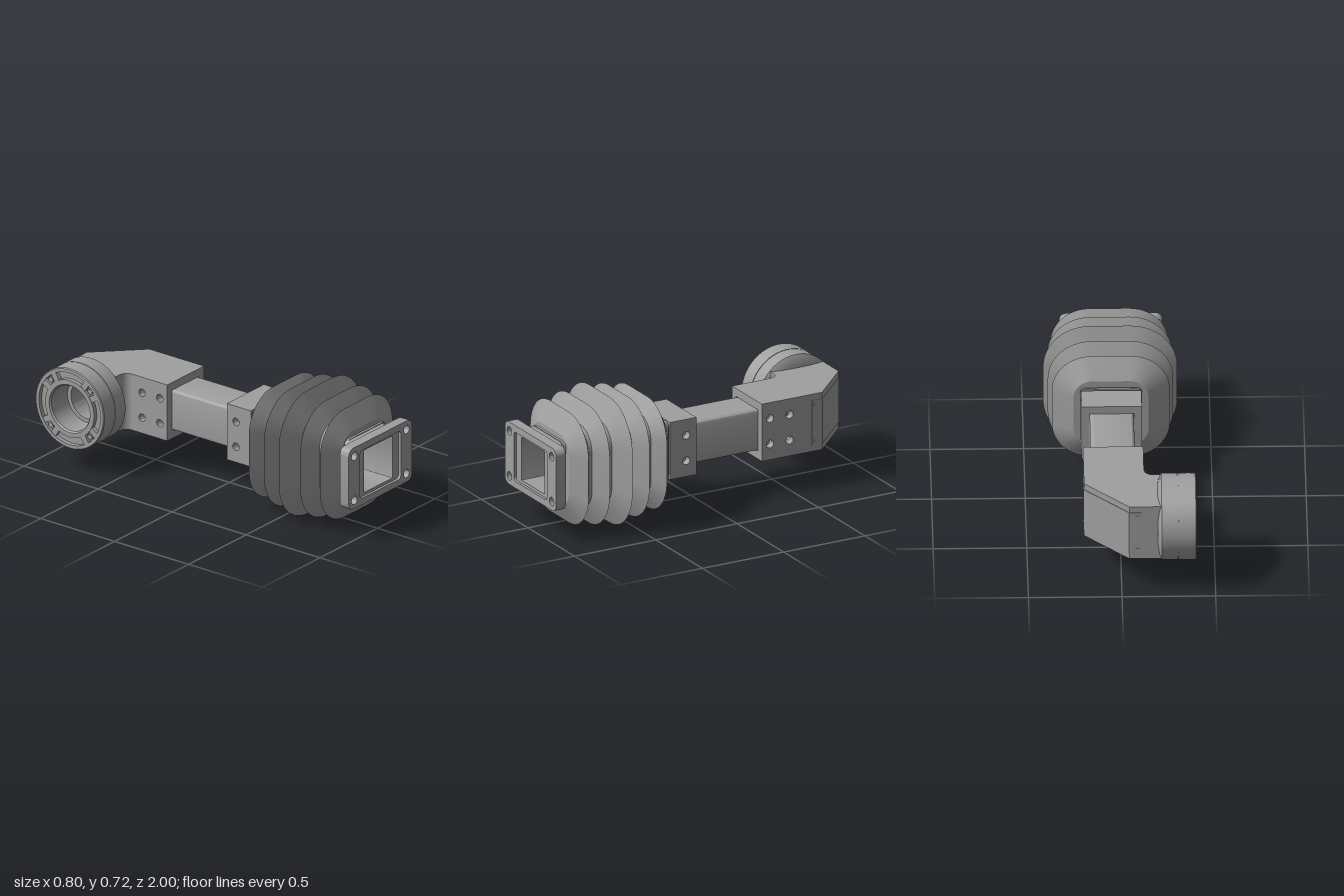
import * as THREE from 'three';
import { toCreasedNormals } from 'three/addons/utils/BufferGeometryUtils.js';

const CX = 0.037, CY = 0.362;
const grey = new THREE.MeshStandardMaterial({ color: 0xa0a0a0 });
grey.name = 'grey metal';

// Rounded rectangle as a list of points, counter-clockwise
function roundRect(cx, cy, hw, hh, r, n = 6) {
  const pts = [];
  [[1, 1], [-1, 1], [-1, -1], [1, -1]].forEach(([sx, sy], q) => {
    for (let i = 0; i <= n; i++) {
      const a = (q + i / n) * Math.PI / 2;
      pts.push(new THREE.Vector2(cx + sx * (hw - r) + r * Math.cos(a), cy + sy * (hh - r) + r * Math.sin(a)));
    }
  });
  return pts;
}

function circle(x, y, r) {
  return new THREE.Path().absarc(x, y, r, 0, Math.PI * 2, true);
}

function extrude(shape, depth) {
  const g = new THREE.ExtrudeGeometry(shape, { depth, bevelEnabled: false, curveSegments: 20 });
  return toCreasedNormals(g, 0.6);
}

export function createModel() {
  const model = new THREE.Group();

  function add(name, geo, parent = model) {
    const m = new THREE.Mesh(geo, grey);
    m.name = name;
    parent.add(m);
    return m;
  }

  // Rectangular ring running along z, with optional round holes
  function frame(name, cx, z0, z1, outer, inner, holes = []) {
    const s = new THREE.Shape(roundRect(cx, CY, ...outer));
    s.holes.push(new THREE.Path(roundRect(cx, CY, ...inner)));
    holes.forEach(([x, y, r]) => s.holes.push(circle(x, y, r)));
    add(name, extrude(s, z1 - z0)).position.z = z0;
  }

  // Front flange: thick back plate and a stepped front plate
  const bolts = [];
  for (const x of [-0.2, 0.253]) for (const y of [0.233, 0.489]) bolts.push([x, y, 0.024]);
  const opening = [0.1225, 0.1225, 0.003];
  frame('flangeBack', 0.026, 0.94, 0.985, [0.276, 0.178, 0.04], opening, bolts);
  frame('flangeFront', 0.026, 0.985, 1, [0.276, 0.178, 0.04], [0.178, 0.14, 0.022], bolts);
  frame('flangeNeck', 0.026, 0.87, 0.94, [0.164, 0.164, 0.025], opening);
  frame('frontClamp', 0.037, 0.882, 0.898, [0.168, 0.168, 0.03], [0.14, 0.14, 0.02]);
  frame('liner', 0.026, 0.241, 0.9, [0.13, 0.13, 0.008], opening);
  frame('rearClamp', CX, 0.252, 0.265, [0.166, 0.166, 0.03], [0.14, 0.14, 0.02]);
  frame('rearNeck', CX, 0.238, 0.285, [0.152, 0.152, 0.025], [0.132, 0.132, 0.01]);

  // Bellows lofted through rounded squares: [z, half width, corner radius]
  const sections = [[0.277, 0.14, 0.04], [0.277, 0.2, 0.1]];
  const peaks = [[0.347, 0.315, 0.21], [0.465, 0.335, 0.23], [0.583, 0.358, 0.25], [0.71, 0.335, 0.23], [0.828, 0.315, 0.21]];
  peaks.forEach(([z, h, r], i) => {
    sections.push([z, h, r]);
    if (i < 4) {
      const mid = (z + peaks[i + 1][0]) / 2;
      sections.push([mid - 0.01, 0.23, 0.125], [mid + 0.01, 0.23, 0.125]);
    }
  });
  sections.push([0.884, 0.2, 0.1], [0.884, 0.14, 0.04]);
  const pos = [], idx = [];
  const count = roundRect(0, 0, 1, 1, 0.5, 12).length;
  sections.forEach(([z, h, r], k) => {
    roundRect(CX, 0.36, h, h, r, 12).forEach((p) => pos.push(p.x, p.y, z));
    if (k === 0) return;
    for (let i = 0; i < count; i++) {
      const j = (i + 1) % count, a = (k - 1) * count, b = k * count;
      idx.push(a + i, a + j, b + j, a + i, b + j, b + i);
    }
  });
  const loft = new THREE.BufferGeometry();
  loft.setAttribute('position', new THREE.Float32BufferAttribute(pos, 3));
  loft.setIndex(idx);
  add('bellows', toCreasedNormals(loft, 0.4));

  // Square tube between the two sockets
  frame('tube', CX, -0.42, 0.241, [0.118, 0.118, 0.02], [0.11, 0.11, 0.012]);

  // Socket around the tube with screw holes in both side walls
  function socket(name, z0, z1, holeZ) {
    const group = new THREE.Group();
    group.name = name;
    model.add(group);
    const len = z1 - z0, zc = (z0 + z1) / 2;
    for (const s of [-1, 1]) {
      const cap = add('socketCap', new THREE.BoxGeometry(0.322, 0.045, len), group);
      cap.position.set(CX, CY + s * 0.1405, zc);
      const wall = new THREE.Shape([[-z1, CY - 0.118], [-z0, CY - 0.118], [-z0, CY + 0.118], [-z1, CY + 0.118]]
        .map((p) => new THREE.Vector2(...p)));
      for (const z of holeZ) for (const y of [0.289, 0.434]) wall.holes.push(circle(-z, y, 0.022));
      const g = extrude(wall, 0.043);
      g.rotateY(Math.PI / 2);
      add('socketWall', g, group).position.x = s > 0 ? CX + 0.118 : CX - 0.161;
    }
  }
  socket('frontSocket', 0.078, 0.24, [0.14]);
  socket('rearSocket', -0.55, -0.325, [-0.375, -0.495]);

  // Extrude a plan outline of [x, z] points upward between two heights
  function plan(name, pts, y0, y1) {
    const g = extrude(new THREE.Shape(pts.map(([x, z]) => new THREE.Vector2(x, -z))), y1 - y0);
    g.rotateX(-Math.PI / 2);
    add(name, g).position.y = y0;
  }

  // Mitred elbow: floor, roof, outer wall and filleted inner wall
  const fillet = [];
  for (let i = 0; i <= 6; i++) {
    const a = i / 6 * Math.PI / 2;
    fillet.push([-0.174 + 0.05 * Math.cos(a), -0.56 - 0.05 * Math.sin(a)]);
  }
  const outerEdge = [[0.198, -0.55], [0.198, -0.695], [-0.04, -0.933], [-0.212, -0.933]];
  const innerEdge = [...fillet, [-0.212, -0.61]];
  const outline = [...outerEdge, ...[...innerEdge].reverse(), [-0.124, -0.55]];
  const lo = CY - 0.163, hi = CY + 0.163;
  plan('elbowFloor', outline, lo, lo + 0.036);
  plan('elbowRoof', outline, hi - 0.036, hi);
  plan('elbowOuterWall', [...outerEdge, [-0.212, -0.9], [-0.05, -0.9], [0.12, -0.73], [0.148, -0.55]], lo + 0.036, hi - 0.036);
  plan('elbowInnerWall', [[-0.124, -0.55], ...innerEdge, [-0.212, -0.64], [-0.08, -0.64], [-0.08, -0.55]], lo + 0.036, hi - 0.036);

  // Folded cover plate over the mitre, held by small screws
  plan('coverPlate', [[0.201, -0.63], [0.201, -0.696], [-0.039, -0.936], [-0.105, -0.936],
    [-0.105, -0.93], [-0.042, -0.93], [0.195, -0.693], [0.195, -0.63]], 0.235, 0.489);
  for (const y of [0.26, 0.465]) {
    const side = add('coverScrew', new THREE.CylinderGeometry(0.009, 0.009, 0.008, 16));
    side.rotation.z = Math.PI / 2;
    side.position.set(0.2, y, -0.65);
    const back = add('coverScrew', new THREE.CylinderGeometry(0.009, 0.009, 0.008, 16));
    back.rotation.x = Math.PI / 2;
    back.position.set(-0.085, y, -0.935);
  }

  // Round coupling with an inner pipe reaching into the elbow, axis along -x
  const coupling = new THREE.Group();
  coupling.name = 'coupling';
  coupling.position.set(0, CY, -0.77);
  coupling.rotation.z = Math.PI / 2;
  model.add(coupling);
  const profile = [[0.108, 0.052], [0.122, 0.052], [0.122, 0.187], [0.18, 0.194], [0.215, 0.203], [0.232, 0.213],
    [0.232, 0.299], [0.229, 0.299], [0.229, 0.303], [0.232, 0.303], [0.232, 0.395], [0.227, 0.4], [0.208, 0.4],
    [0.208, 0.375], [0.165, 0.375], [0.165, 0.4], [0.138, 0.4], [0.13, 0.39], [0.13, 0.25], [0.108, 0.25], [0.108, 0.052]];
  add('couplingRing', toCreasedNormals(new THREE.LatheGeometry(profile.map((p) => new THREE.Vector2(...p)), 64), 0.45), coupling);

  // Locking lugs and bolts in the ring groove
  for (let i = 0; i < 4; i++) {
    const a = Math.PI / 4 + i * Math.PI / 2;
    for (const d of [-0.22, 0.22]) {
      const lug = add('lug', new THREE.BoxGeometry(0.046, 0.024, 0.035), coupling);
      lug.position.set(0.187 * Math.cos(a + d), 0.386, 0.187 * Math.sin(a + d));
      lug.rotation.y = -(a + d);
    }
    const bolt = add('bolt', new THREE.CylinderGeometry(0.015, 0.015, 0.02, 16), coupling);
    bolt.position.set(0.187 * Math.cos(a), 0.384, 0.187 * Math.sin(a));
  }

  return model;
}
